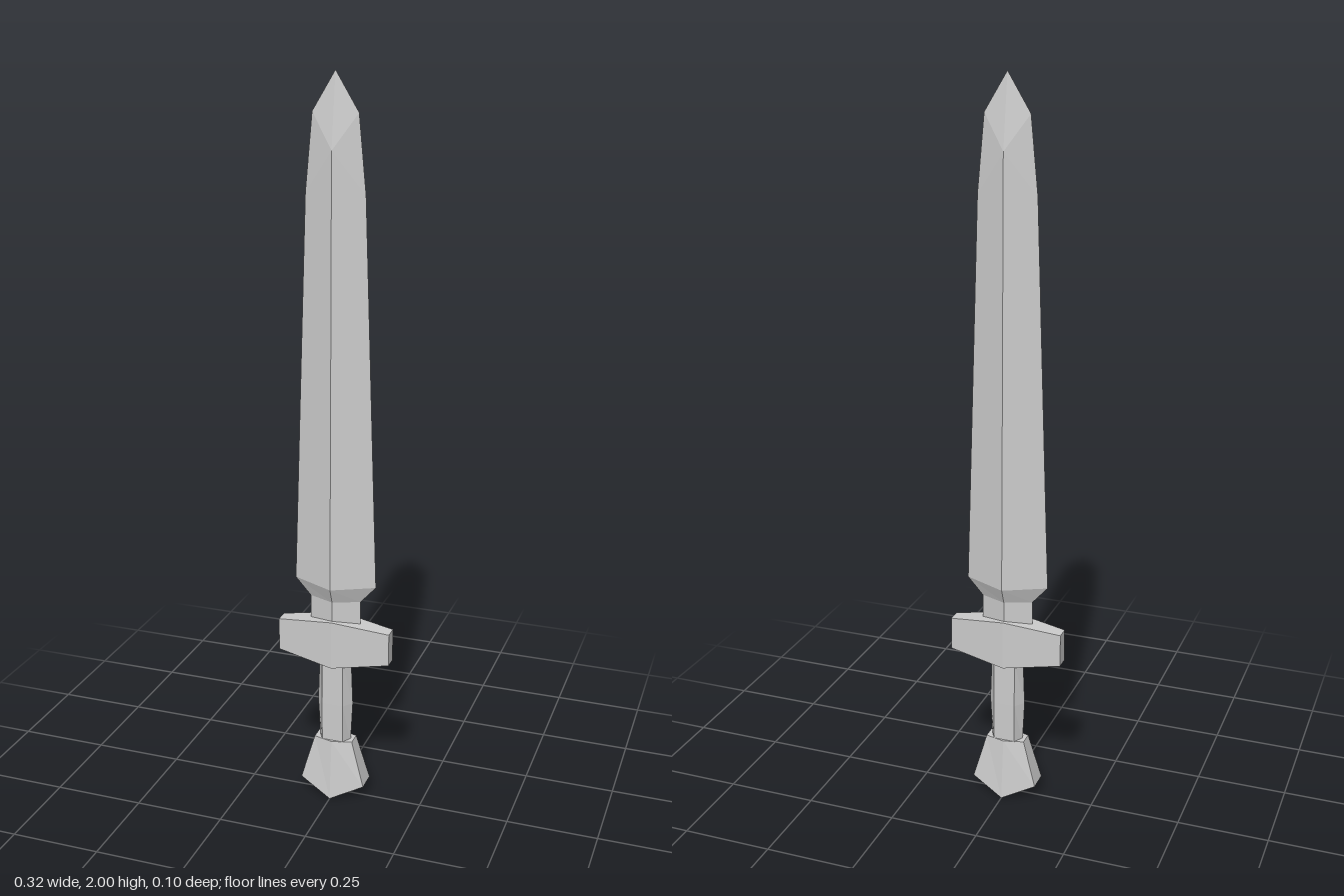
import * as THREE from 'three';

// Six-sided loop: two flat ends at +-x and a ridge on the front and back at x = 0.
// sideY and midY let a loop rise or dip towards its middle.
function loop(sideX, sideZ, sideY, midZ, midY) {
  return [
    [sideX, sideY, sideZ], [0, midY, midZ], [-sideX, sideY, sideZ],
    [-sideX, sideY, -sideZ], [0, midY, -midZ], [sideX, sideY, -sideZ],
  ].map((p) => new THREE.Vector3(...p));
}

// Skins a stack of loops from bottom to top and closes both ends.
function loft(name, loops) {
  const points = [];
  const triangle = (a, b, c) => {
    const area = new THREE.Triangle(a, b, c).getArea();
    if (area > 1e-7) points.push(a, b, c);
  };
  const quad = (a, b, c, d) => {
    triangle(a, b, c);
    triangle(a, c, d);
  };

  for (let k = 0; k < loops.length - 1; k++) {
    const lo = loops[k], hi = loops[k + 1];
    for (let i = 0; i < 6; i++) {
      const j = (i + 1) % 6;
      quad(lo[i], hi[i], hi[j], lo[j]);
    }
  }
  const b = loops[0], t = loops[loops.length - 1];
  quad(b[0], b[1], b[4], b[5]);
  quad(b[1], b[2], b[3], b[4]);
  quad(t[5], t[4], t[1], t[0]);
  quad(t[4], t[3], t[2], t[1]);

  const geometry = new THREE.BufferGeometry().setFromPoints(points);
  geometry.computeVertexNormals();
  const mesh = new THREE.Mesh(
    geometry,
    new THREE.MeshStandardMaterial({ color: 0xcccccc, flatShading: true }),
  );
  mesh.name = name;
  return mesh;
}

export function createModel() {
  const sword = new THREE.Group();
  sword.name = 'sword';

  // Pommel: flares downwards and ends in a keel running front to back
  sword.add(loft('pommel', [
    loop(0.092, 0.03, 0.047, 0.052, 0.004),
    loop(0.055, 0.02, 0.178, 0.035, 0.178),
  ]));

  // Grip: flat front and back, pointed sides, slightly swollen in the middle
  const grip = loft('grip', [
    loop(0.027, 0.03, 0.17, 0.045, 0.17),
    loop(0.028, 0.03, 0.29, 0.051, 0.29),
    loop(0.027, 0.03, 0.42, 0.046, 0.42),
  ]);
  grip.rotation.y = Math.PI / 2;
  sword.add(grip);

  // Crossguard: thickest in the middle, tapering to small rectangular ends
  sword.add(loft('crossguard', [
    loop(0.159, 0.019, 0.433, 0.039, 0.408),
    loop(0.159, 0.019, 0.525, 0.039, 0.546),
  ]));

  // Blade: neck, shoulders, long diamond taper and faceted point
  sword.add(loft('blade', [
    loop(0.072, 0, 0.5, 0.029, 0.5),
    loop(0.072, 0, 0.602, 0.029, 0.602),
    loop(0.115, 0, 0.65, 0.046, 0.645),
    loop(0.08, 0, 1.7, 0.03, 1.81),
    loop(0.061, 0, 1.9, 0.03, 1.81),
    loop(0, 0, 2, 0, 2),
  ]));

  return sword;
}
